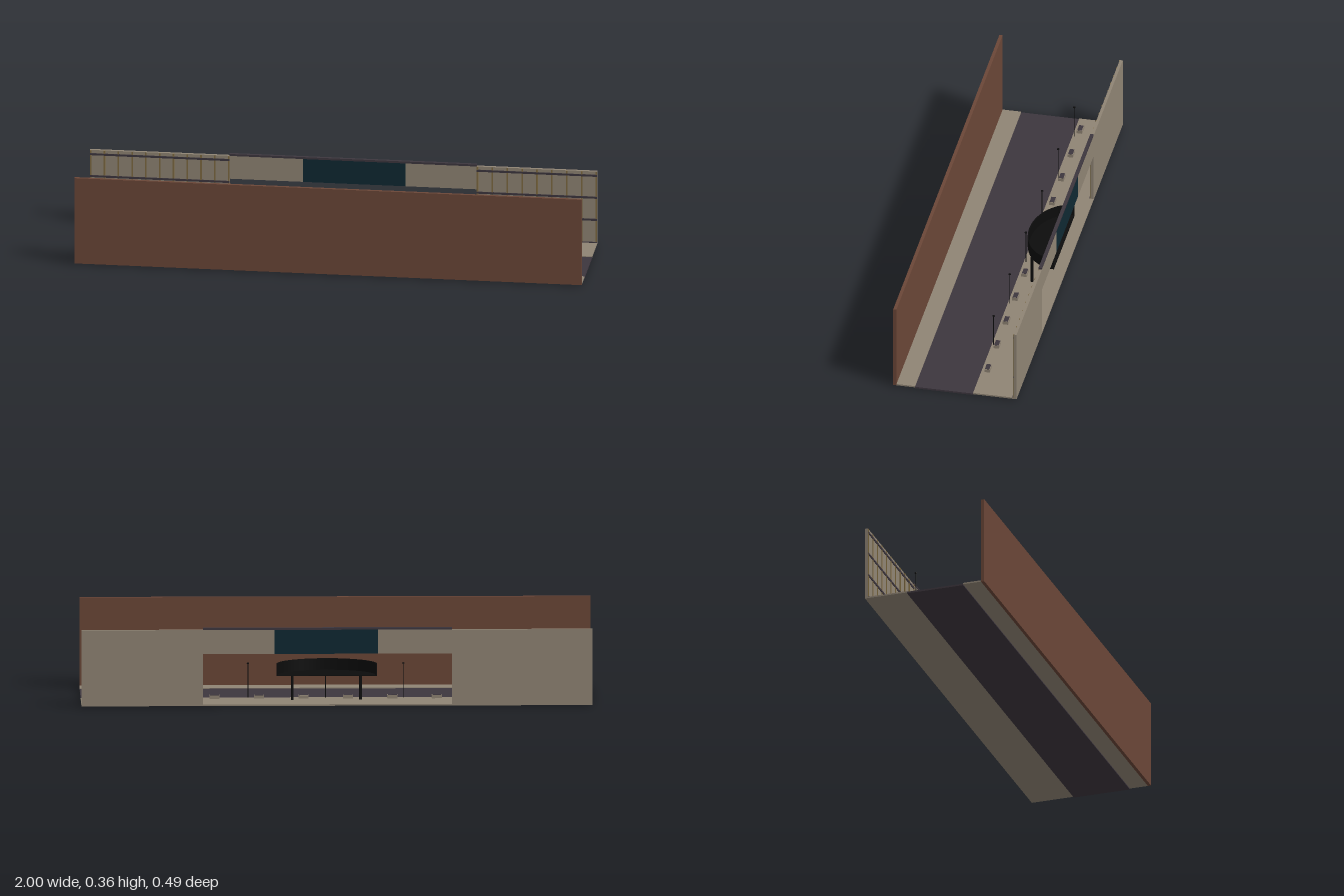
import * as THREE from 'three';

const mat = (name, color) => {
  const m = new THREE.MeshStandardMaterial({ color });
  m.name = name;
  return m;
};

export function createModel() {
  const brick = mat('brick red', 0x6a4637);
  const stone = mat('stone beige', 0x8f8474);
  const asphalt = mat('asphalt purple', 0x3d363e);
  const black = mat('black', 0x0c0c0c);
  const teal = mat('dark teal', 0x0e2832);
  const brass = mat('brass', 0x7d6940);

  const model = new THREE.Group();
  model.name = 'streetSet';

  const add = (name, geometry, material, parent = model) => {
    const m = new THREE.Mesh(geometry, material);
    m.name = name;
    parent.add(m);
    return m;
  };
  // Box given by its limits on each axis
  const box = (name, material, x0, x1, y0, y1, z0, z1, parent) => {
    const m = add(name, new THREE.BoxGeometry(x1 - x0, y1 - y0, z1 - z0), material, parent);
    m.position.set((x0 + x1) / 2, (y0 + y1) / 2, (z0 + z1) / 2);
    return m;
  };
  const post = (name, material, r, x, z, y0, y1, sides, parent) => {
    const m = add(name, new THREE.CylinderGeometry(r, r, y1 - y0, sides), material, parent);
    m.position.set(x, (y0 + y1) / 2, z);
    return m;
  };

  // Street and pavements
  box('road', asphalt, -1, 1, 0, 0.007, -0.072, 0.16);
  box('frontPavement', stone, -1, 1, 0.004, 0.01, 0.16, 0.234);
  box('backPavement', stone, -1, 1, 0.004, 0.01, -0.246, -0.072);

  // Tall wall along the front
  box('frontWall', brick, -1, 1, 0.004, 0.358, 0.234, 0.247);

  // Back wall with a wide opening under a lintel
  const x0 = -0.45, x1 = 0.525, zb = -0.246, zf = -0.234;
  box('backWallRight', stone, -1, x0, 0.01, 0.305, zb, zf);
  box('backWallLeft', stone, x1, 1, 0.01, 0.305, zb, zf);
  box('lintelRight', stone, x0, -0.16, 0.21, 0.305, zb, zf);
  box('lintelCentre', teal, -0.16, 0.245, 0.21, 0.305, zb, zf);
  box('lintelLeft', stone, 0.245, x1, 0.21, 0.305, zb, zf);
  box('lintelCap', asphalt, x0, x1, 0.305, 0.313, zb, -0.233);

  // Window grids on both wall wings
  for (const [side, a, b, count] of [['right', -1, x0, 10], ['left', x1, 1, 8]]) {
    const grid = new THREE.Group();
    grid.name = side + 'WindowGrid';
    model.add(grid);
    for (let i = 0; i <= count; i++) {
      const x = a + 0.003 + (b - a - 0.006) * i / count;
      box('mullion', brass, x - 0.003, x + 0.003, 0.01, 0.304, zf, -0.2315, grid);
    }
    for (const y of [0.105, 0.197, 0.288])
      box('rail', asphalt, a, b, y - 0.004, y + 0.004, zf, -0.231, grid);
    box('baseRail', asphalt, a, b, 0.01, 0.013, zf, -0.229, grid);
  }

  // Small door panels, each with a thin shelf
  for (const d of [0.635, 0.72, 0.805]) for (const s of [-1, 1]) {
    const x = 0.04 + s * d;
    box('doorPanel', asphalt, x - 0.013, x + 0.013, 0.018, 0.076, zf, -0.23);
    box('doorShelf', asphalt, x - 0.012, x + 0.012, 0.075, 0.0765, -0.23, -0.224);
  }

  // Half-oval canopy: a floor with a raised outer band
  const canopy = new THREE.Group();
  canopy.name = 'canopy';
  canopy.position.set(0.04, 0.12, -0.233);
  model.add(canopy);
  const arc = (s, rx, rz, cw) => s.absellipse(0, 0, rx, rz, cw ? 0 : Math.PI, cw ? -Math.PI : 0, !!cw, 0);
  const slab = (shape, depth) =>
    new THREE.ExtrudeGeometry(shape, { depth, bevelEnabled: false, curveSegments: 40 }).rotateX(-Math.PI / 2);
  const floor = new THREE.Shape();
  floor.moveTo(-0.197, 0);
  arc(floor, 0.197, 0.14, false);
  const band = new THREE.Shape();
  band.moveTo(-0.197, 0);
  arc(band, 0.197, 0.14, false);
  band.lineTo(0.192, 0);
  arc(band, 0.192, 0.135, true);
  add('canopyFloor', slab(floor, 0.003), black, canopy);
  add('canopyBand', slab(band, 0.048), black, canopy);
  for (const s of [-1, 1])
    post('canopyPost', black, 0.0055, 0.04 + s * 0.133, -0.132, 0.01, 0.121, 16);

  // Row of kerbside planters
  for (let i = 0; i < 11; i++) {
    const x = -0.915 + 0.174 * i;
    box('planter', stone, x - 0.02, x + 0.02, 0.01, 0.023, -0.106, -0.084);
    box('planterTop', asphalt, x - 0.018, x + 0.018, 0.023, 0.024, -0.104, -0.086);
  }

  // Slim street posts with a small cap
  for (let i = 0; i < 6; i++) {
    const x = -0.87 + 0.304 * i;
    post('streetPost', black, 0.0016, x, -0.08, 0.01, 0.146, 8);
    post('streetPostCap', black, 0.005, x, -0.08, 0.145, 0.148, 10);
  }

  return model;
}
